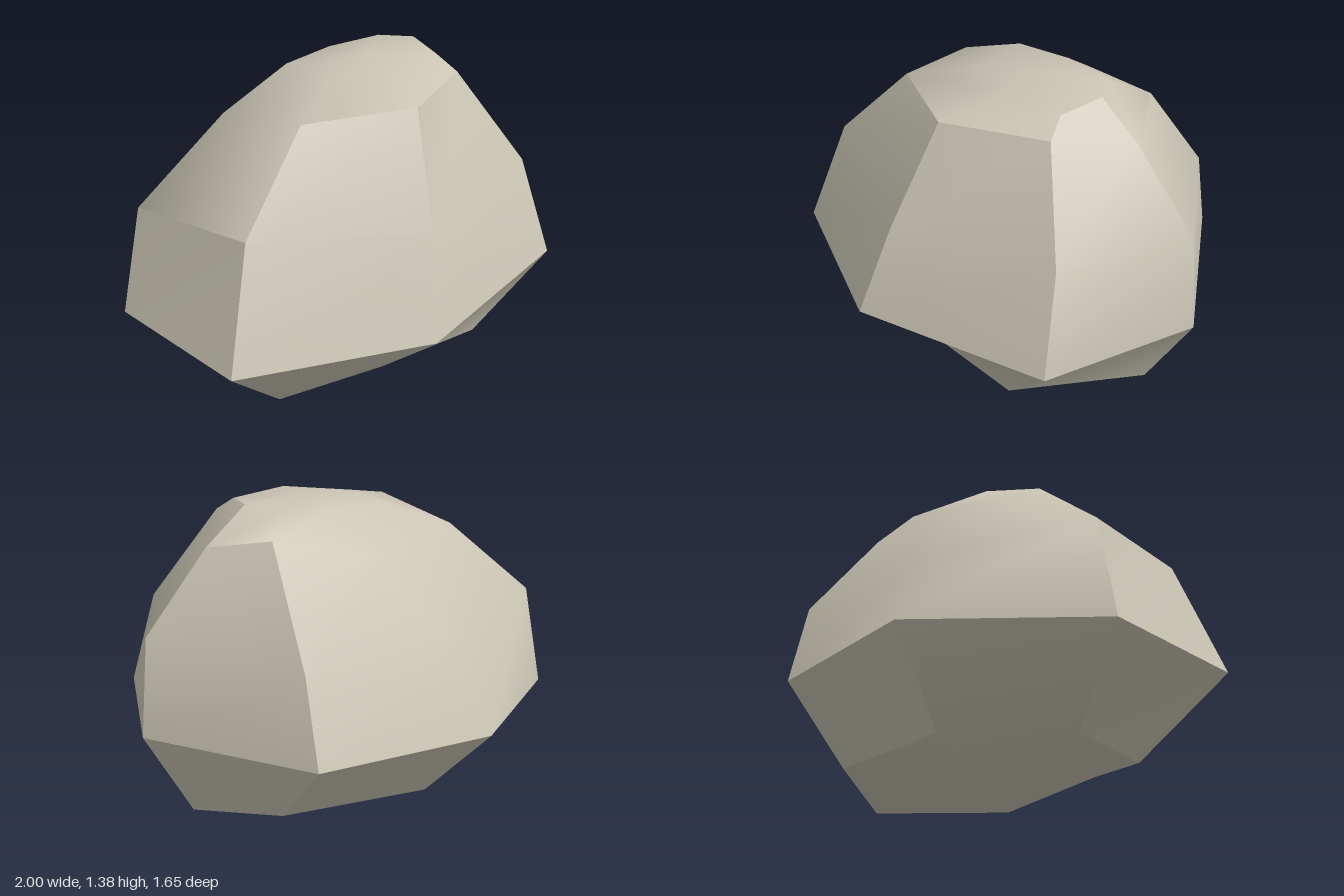
import * as THREE from 'three';

// Seven-sided rings from the base to the crown, starting at the front right and going round by the front
const rings = [
  [[-0.62, 0, 0.25], [-0.2, 0.09, 0.475], [0.38, 0.05, 0.51], [0.77, 0.015, 0], [0.55, 0.09, -0.4], [-0.16, 0.05, -0.5], [-0.6, 0.04, -0.12]],
  [[-1, 0.35, 0.4], [-0.23, 0.385, 0.82], [0.71, 0.42, 0.67], [1, 0.43, 0], [0.58, 0.43, -0.72], [-0.25, 0.42, -0.83], [-1, 0.35, -0.35]],
  [[-0.82, 0.88, 0.3], [-0.13, 0.82, 0.69], [0.65, 0.87, 0.53], [0.96, 0.88, 0], [0.58, 0.82, -0.63], [-0.18, 0.81, -0.64], [-0.9, 0.84, -0.33]],
  [[-0.45, 1.265, 0.23], [-0.02, 1.295, 0.48], [0.43, 1.295, 0.3], [0.66, 1.22, 0], [0.51, 1.29, -0.29], [0.1, 1.21, -0.43], [-0.5, 1.2, -0.22]],
  [[-0.15, 1.345, 0.08], [0.13, 1.375, 0.21], [0.4, 1.36, 0.2], [0.46, 1.38, 0], [0.38, 1.37, -0.15], [0.12, 1.36, -0.21], [-0.15, 1.345, -0.2]],
];
const SIDES = 7;
const points = [...rings.flat(), [0, 0.02, 0], [0.15, 1.38, 0]];
const baseCentre = 35, crownCentre = 36;
const id = (ring, side) => ring * SIDES + (side % SIDES);

// Quad between ring t and ring t + 1 on one side
function quad(t, s) {
  const a = id(t, s), b = id(t, s + 1), c = id(t + 1, s + 1), d = id(t + 1, s);
  return [a, b, c, a, c, d];
}

// Each patch is smooth inside and has hard edges around it
function patch(index) {
  const geometry = new THREE.BufferGeometry();
  geometry.setAttribute('position', new THREE.Float32BufferAttribute(points.flat(), 3));
  geometry.setIndex(index);
  geometry.computeVertexNormals();
  return geometry;
}

export function createModel() {
  const group = new THREE.Group();
  group.name = 'boulder';
  const stone = new THREE.MeshStandardMaterial({ color: 0xcac5b4 });
  stone.name = 'pale stone';
  const add = (name, index) => {
    const mesh = new THREE.Mesh(patch(index), stone);
    mesh.name = name;
    group.add(mesh);
  };

  // Upper facets of the front and sides
  add('frontRightFacet', [...quad(1, 0), ...quad(2, 0)]);
  add('frontLeftFacet', [...quad(1, 1), ...quad(2, 1)]);
  add('leftFacet', [...quad(1, 2), ...quad(2, 2), ...quad(3, 2)]);
  add('backLeftFacet', [...quad(1, 3), ...quad(2, 3)]);
  add('rightFacet', quad(1, 6));

  // Worn back running smoothly over the crown
  const worn = [...quad(2, 6)];
  for (const s of [4, 5]) worn.push(...quad(1, s), ...quad(2, s));
  for (let s = 0; s < SIDES; s++) {
    if (s !== 2) worn.push(...quad(3, s));
    worn.push(id(4, s), id(4, s + 1), crownCentre);
  }
  add('wornBackAndCrown', worn);

  // Undercut facets below the widest ring
  for (const s of [0, 1, 2, 3, 4, 6]) add('undercutFacet' + (s + 1), quad(0, s));

  // Base, blending into the back right undercut
  const base = quad(0, 5);
  for (let s = 0; s < SIDES; s++) base.push(id(0, s + 1), id(0, s), baseCentre);
  add('base', base);

  return group;
}
